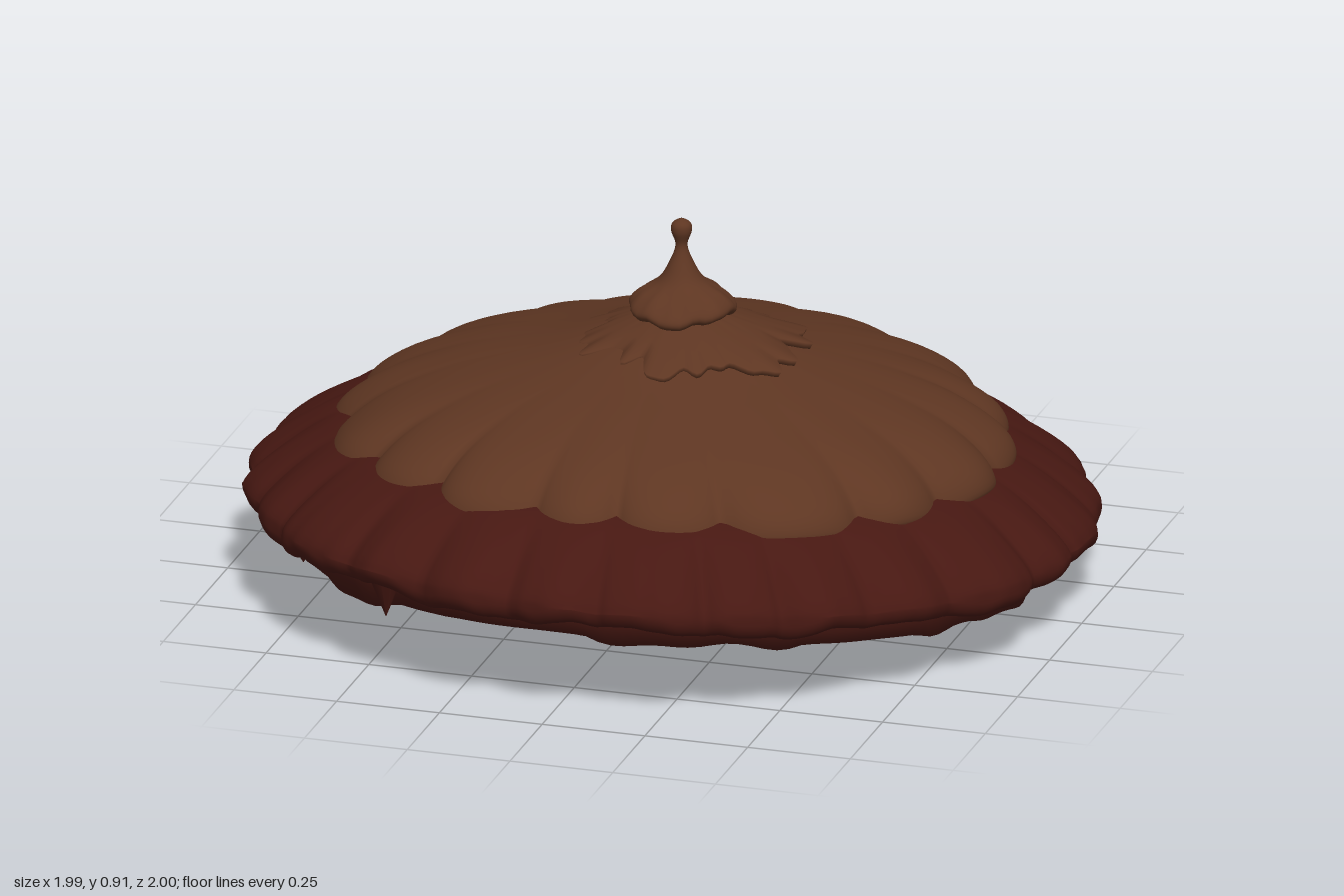
import * as THREE from 'three';

const BROWN = 0x5e3622, RED = 0x471812, DARK = 0x3c150f;
const TAU = Math.PI * 2;

const material = (color) => new THREE.MeshStandardMaterial({ color, side: THREE.DoubleSide });

// Gentle repeatable irregularity around the ring, about -1..1
const wobble = (a, s) =>
  0.5 * Math.sin(3 * a + s) + 0.3 * Math.sin(7 * a + 2.3 * s) + 0.2 * Math.sin(13 * a + 4.1 * s);

// Rounded outward lobes meeting in inward creases: 0 at a crease, 1 on a lobe
const lobes = (a, n, s) => Math.abs(Math.sin((n * a) / 2 + 0.8 * wobble(a, s))) ** 0.65;

// Height of the lower edge: high at the front, low at the sides and back
const baseHeight = (z) => 0.065 + 0.08 * z + 0.07 * z * z;

// Closed rings swept around y; rings run from the inside top outwards and down.
// place(angle, ring, index) returns the [x, y, z] of a vertex.
function layer(name, color, rings, segments, place) {
  const pos = [], index = [];
  rings.forEach((ring, j) => {
    for (let i = 0; i < segments; i++) {
      pos.push(...place((i / segments) * TAU, ring, j));
      if (j === 0) continue;
      const k = (i + 1) % segments;
      const a = (j - 1) * segments + i, b = (j - 1) * segments + k;
      const c = j * segments + i, d = j * segments + k;
      index.push(a, b, c, b, d, c);
    }
  });
  const geo = new THREE.BufferGeometry();
  geo.setAttribute('position', new THREE.Float32BufferAttribute(pos, 3));
  geo.setIndex(index);
  geo.computeVertexNormals();
  const mesh = new THREE.Mesh(geo, material(color));
  mesh.name = name;
  return mesh;
}

// Smooth an [r, y] profile into evenly spaced rings
const smooth = (points, n) =>
  new THREE.SplineCurve(points.map((p) => new THREE.Vector2(...p))).getPoints(n).map((p) => [p.x, p.y]);

export function createModel() {
  const model = new THREE.Group();

  // Upper cap: shallow scalloped dome, slightly higher at the front
  const capProfile = smooth(
    [[0.01, 0.69], [0.12, 0.66], [0.3, 0.595], [0.5, 0.535], [0.66, 0.475], [0.76, 0.41], [0.795, 0.355], [0.78, 0.325], [0.7, 0.33]], 32);
  model.add(layer('upperCap', BROWN, capProfile, 288, (a, [r, y]) => {
    const w = Math.min(1, r / 0.8) ** 5;
    const l = lobes(a, 18, 1.2);
    const rr = r * (1 + w * (0.06 * (l - 0.8) + 0.02 * wobble(a, 0.7)));
    const z = Math.sin(a) * rr;
    const shift = 0.035 * (1 - Math.min(1, r / 0.5));
    return [Math.cos(a) * rr + shift, y + 0.05 * z + 0.03 * z * z + w * 0.025 * (l - 0.8), z + shift];
  }));

  // Lower cap: wider puffy ring with a rolled, crinkled lip
  const brimProfile = smooth(
    [[0.68, 0.39], [0.78, 0.37], [0.88, 0.315], [0.965, 0.245], [0.99, 0.2], [0.97, 0.165], [0.92, 0.175], [0.85, 0.2]], 28);
  model.add(layer('lowerCap', RED, brimProfile, 360, (a, [r, y], j) => {
    const w = THREE.MathUtils.smoothstep(r, 0.72, 0.99);
    const l = lobes(a, 26, 2.6);
    const rough = 0.006 * wobble(a * 7, 0.9);
    const rr = r * (1 + w * (0.035 * (l - 0.75) + 0.012 * wobble(a, 2.2) + rough));
    const lip = j > 15 ? 0.016 * wobble(a * 3, 1.4) + rough : 0;
    const x = Math.cos(a) * rr, z = Math.sin(a) * rr;
    return [x, y + 0.06 * z + 0.03 * z * z - 0.02 * x + w * (0.015 * (l - 0.75) + lip), z];
  }));

  // Skirt under the lip, leaning inwards to a ragged lower edge
  const skirtProfile = [[0.87, 1], [0.88, 0.65], [0.875, 0.3], [0.855, 0], [0.82, 0]];
  model.add(layer('skirt', RED, skirtProfile, 180, (a, [r, t], j) => {
    const rr = r * (1 + 0.012 * wobble(a * 2, 3.1));
    const x = Math.cos(a) * rr, z = Math.sin(a) * rr;
    const top = 0.2 + 0.06 * z + 0.03 * z * z;
    const rag = j === 3 ? -0.03 * Math.max(0, wobble(a * 2, 0.4)) : 0;
    return [x, THREE.MathUtils.lerp(baseHeight(z), top, t) + rag, z];
  }));

  // Underside: shallow tilted disc that curls up at the front
  const baseProfile = [[0.84, 0], [0.7, 0.004], [0.55, 0.008], [0.4, 0.01], [0.2, 0.012], [0.001, 0.012]];
  model.add(layer('underside', DARK, baseProfile, 96, (a, [r, lift]) => {
    const z = Math.sin(a) * r;
    return [Math.cos(a) * r, baseHeight(z) + lift, z];
  }));

  // Drips hanging from the edges: x, z, top y, length
  const drips = [[-0.43, 0.84, 0.27, 0.1], [-0.69, -0.5, 0.08, 0.07],
    [0.65, -0.56, 0.08, 0.07], [-0.8, 0.3, 0.13, 0.065]];
  for (const [x, z, top, length] of drips) {
    const drip = new THREE.Mesh(new THREE.ConeGeometry(0.04, length, 10), material(RED));
    drip.rotation.x = Math.PI;
    drip.position.set(x, top - length / 2, z);
    drip.name = 'drip';
    model.add(drip);
  }

  // Torn collar lying on the cap around the finial
  const collarProfile = [[0.03, 0.695], [0.1, 0.68], [0.18, 0.65], [0.25, 0.622], [0.245, 0.608], [0.2, 0.615]];
  model.add(layer('collar', BROWN, collarProfile, 160, (a, [r, y]) => {
    const w = (r / 0.25) ** 2;
    const tear = 0.2 * wobble(a * 2, 5.2) + 0.04 * Math.sin(17 * a) + 0.08 * Math.cos(a);
    const rr = r * (1 + w * tear);
    const z = Math.sin(a) * rr + 0.02;
    return [Math.cos(a) * rr + 0.045, y + 0.05 * z - 0.07 * w * tear, z];
  }));

  // Finial: wavy flared bell, thin neck and small knob
  const finialProfile = smooth(
    [[0.05, 0.66], [0.06, 0.685], [0.11, 0.69], [0.125, 0.71], [0.1, 0.74], [0.055, 0.77], [0.03, 0.81],
      [0.014, 0.855], [0.024, 0.89], [0.021, 0.91], [0.001, 0.922]], 60).reverse();
  model.add(layer('finial', BROWN, finialProfile, 48, (a, [r, y]) => {
    const w = THREE.MathUtils.smoothstep(r, 0.05, 0.12);
    const rr = r * (1 + 0.05 * w * wobble(a, 1.9));
    return [Math.cos(a) * rr + 0.038, y + 0.012 * w * wobble(a, 0.3), Math.sin(a) * rr + 0.038];
  }));

  return model;
}
